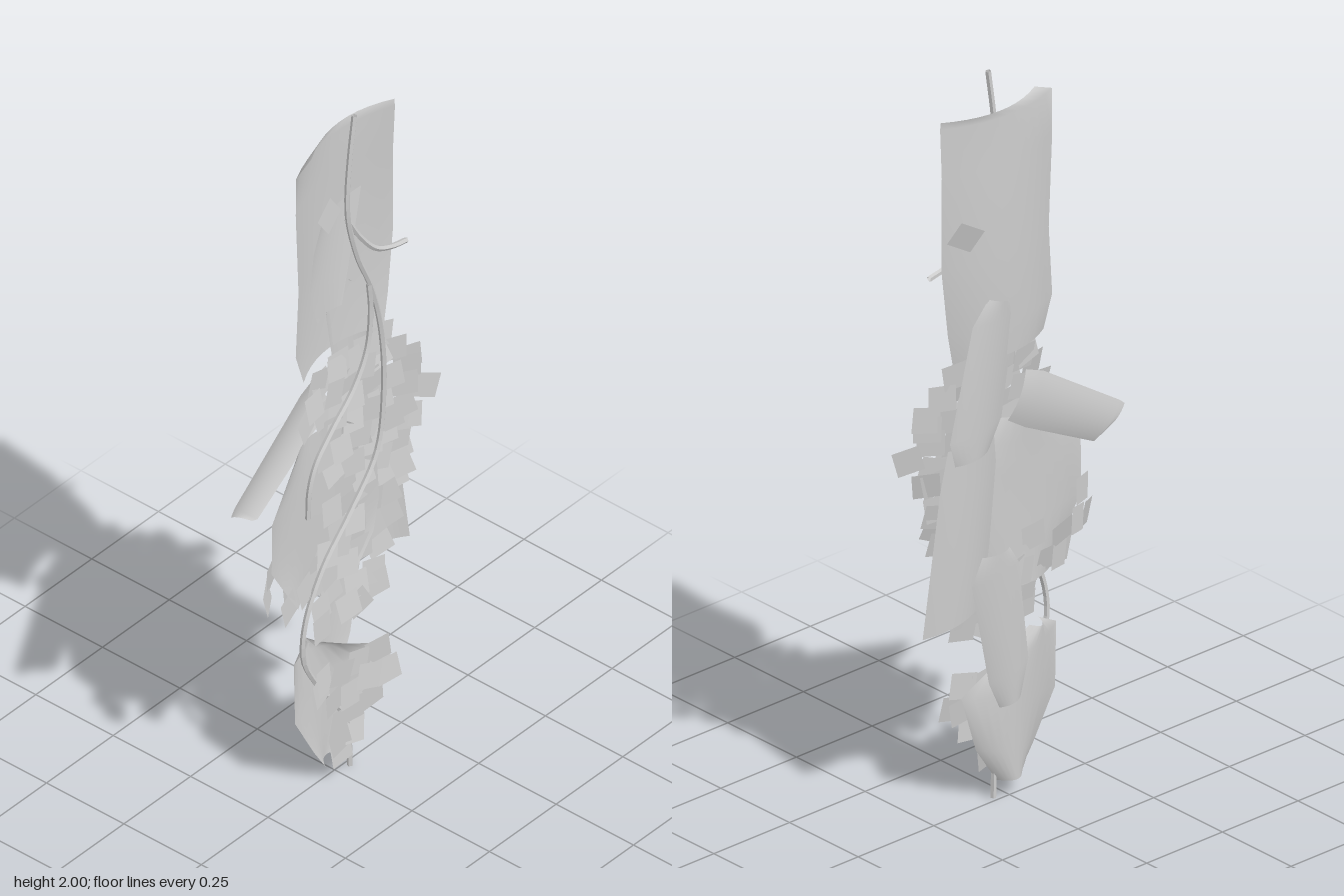
import * as THREE from 'three';

const vineMat = new THREE.MeshStandardMaterial({ color: 0xcccccc, side: THREE.DoubleSide });
vineMat.name = 'vine grey';

// Arched blade lofted through rows of [xLeft, yLeft, xRight, yRight, zEdge]
function blade(name, arch, rows) {
  const n = 10, pos = [], idx = [];
  rows.forEach(([xl, yl, xr, yr, z], r) => {
    for (let i = 0; i <= n; i++) {
      const u = i / n;
      pos.push(xl + (xr - xl) * u, yl + (yr - yl) * u, z - arch * 4 * u * (1 - u));
      if (r && i) {
        const d = r * (n + 1) + i, c = d - 1, b = d - n - 1, a = b - 1;
        idx.push(a, c, b, b, c, d);
      }
    }
  });
  const g = new THREE.BufferGeometry();
  g.setAttribute('position', new THREE.Float32BufferAttribute(pos, 3));
  g.setIndex(idx);
  g.computeVertexNormals();
  const m = new THREE.Mesh(g, vineMat);
  m.name = name;
  return m;
}

// Faceted five-sided stem through [x, y] points just in front of the leaves
function stem(name, pts, z) {
  const curve = new THREE.CatmullRomCurve3(pts.map(([x, y]) => new THREE.Vector3(x, y, z)));
  const g = new THREE.TubeGeometry(curve, 80, 0.0075, 5).toNonIndexed();
  g.computeVertexNormals();
  const m = new THREE.Mesh(g, vineMat);
  m.name = name;
  return m;
}

let seed = 11;
const rnd = () => {
  seed = (seed * 16807) % 2147483647;
  return seed / 2147483647 - 0.5;
};

// Small square leaf, its outer edge curling forward towards the sides
const squareGeo = new THREE.PlaneGeometry(0.07, 0.07);
function smallLeaf(x, y, z, spin) {
  const m = new THREE.Mesh(squareGeo, vineMat);
  m.name = 'smallLeaf';
  m.position.set(x, y, z);
  m.rotation.set(rnd() * 0.3 - 0.1, rnd() * 0.3 - x * 1.8, spin);
  return m;
}

export function createModel() {
  const model = new THREE.Group();
  model.name = 'climbingVine';

  // Stems
  model.add(stem('mainStem', [[0.057, 2], [0.04, 1.88], [0.03, 1.76], [0.035, 1.68], [0.07, 1.55],
    [0.12, 1.43], [0.158, 1.27], [0.167, 1.08], [0.14, 0.91], [0.04, 0.78], [-0.06, 0.67],
    [-0.125, 0.54], [-0.135, 0.43], [-0.09, 0.33], [-0.03, 0.24], [0.03, 0.14], [0.04, 0]], 0.015));
  model.add(stem('upperTendril', [[0.033, 1.69], [0.08, 1.61], [0.14, 1.54], [0.2, 1.51], [0.255, 1.497]], 0.012));
  model.add(stem('middleTendril', [[0.108, 1.45], [0.115, 1.36], [0.1, 1.25], [0.05, 1.16],
    [-0.03, 1.08], [-0.09, 1.01], [-0.115, 0.94], [-0.12, 0.855]], 0.018));

  // Large arched leaves
  model.add(blade('topLeaf', 0.044, [
    [-0.07, 1.925, 0.24, 1.93, -0.014], [-0.13, 1.9, 0.24, 1.91, -0.012], [-0.125, 1.78, 0.24, 1.78, -0.018],
    [-0.11, 1.53, 0.245, 1.53, -0.022], [-0.125, 1.34, 0.22, 1.34, -0.018],
    [-0.1, 1.25, 0.2, 1.25, -0.014]]));
  model.add(blade('topInnerLeaf', 0.012, [
    [-0.01, 1.67, 0.14, 1.71, -0.035], [-0.04, 1.6, 0.115, 1.6, -0.033],
    [-0.06, 1.48, 0.08, 1.47, -0.03], [-0.03, 1.38, 0.06, 1.39, -0.028]]));
  model.add(blade('backLeaf', 0.016, [
    [0.05, 1.4, 0.12, 1.42, -0.056], [0.03, 1.36, 0.17, 1.36, -0.054],
    [0.07, 1.08, 0.24, 1.06, -0.048], [0.11, 1.0, 0.22, 0.99, -0.045]]));
  model.add(blade('leftLeaf', 0.012, [
    [0.0, 1.19, 0.06, 1.07, -0.06], [-0.06, 1.165, 0.0, 1.03, -0.058],
    [-0.33, 0.985, -0.245, 0.9, -0.038], [-0.35, 0.968, -0.27, 0.912, -0.034]]));
  model.add(blade('rightLeaf', 0.025, [
    [0.08, 1.05, 0.23, 1.03, -0.03], [0.07, 0.95, 0.255, 0.92, -0.028],
    [0.09, 0.72, 0.285, 0.7, -0.025], [0.11, 0.57, 0.305, 0.535, -0.02]]));
  model.add(blade('lowerBackLeaf', 0.014, [
    [0.04, 0.71, 0.13, 0.71, -0.045], [0.01, 0.66, 0.165, 0.64, -0.045],
    [-0.03, 0.38, 0.1, 0.35, -0.036], [-0.01, 0.28, 0.06, 0.27, -0.03]]));
  model.add(blade('middleLeaf', 0.034, [
    [-0.14, 1.045, 0.05, 1.05, 0], [-0.2, 0.96, 0.12, 0.99, 0.003], [-0.24, 0.9, 0.15, 0.9, 0.005],
    [-0.243, 0.75, 0.16, 0.76, 0.006], [-0.19, 0.66, 0.14, 0.66, 0.005], [-0.14, 0.58, 0.08, 0.58, 0.003]]));
  model.add(blade('bottomLeaf', 0.032, [
    [-0.1, 0.452, -0.07, 0.44, 0.005], [-0.16, 0.42, 0.04, 0.37, 0.006], [-0.16, 0.24, 0.15, 0.31, 0.01],
    [-0.09, 0.11, 0.1, 0.15, 0.012], [-0.05, 0.045, 0.03, 0.045, 0.014]]));

  // Dense clusters of small leaves: rows of [y, xFrom, xTo, z]
  const clusters = new THREE.Group();
  clusters.name = 'leafClusters';
  const rows = [
    [1.215, -0.03, 0.2, -0.015], [1.165, -0.06, 0.22, -0.01], [1.1, -0.04, 0.27, -0.006],
    [1.045, 0, 0.26, -0.003], [0.985, -0.03, 0.26, 0], [0.925, 0, 0.25, -0.004], [0.865, 0.04, 0.24, -0.006],
    [0.8, 0.0, 0.23, -0.006], [0.74, 0.02, 0.2, -0.003], [0.68, -0.03, 0.2, 0], [0.62, -0.07, 0.16, 0],
    [0.55, 0.0, 0.14, 0.002], [0.7, -0.2, -0.06, -0.034], [0.63, -0.15, 0, -0.03],
    [0.32, -0.08, 0.12, 0.034], [0.26, -0.04, 0.13, 0.04], [0.19, -0.03, 0.09, 0.038], [0.12, -0.02, 0.05, 0.03]];
  for (const [y, x0, x1, z] of rows) {
    const n = Math.round((x1 - x0) / 0.058);
    for (let i = 0; i <= n; i++) {
      const x = x0 + (x1 - x0) * i / n + rnd() * 0.02;
      clusters.add(smallLeaf(x, y + rnd() * 0.03, z + rnd() * 0.014, rnd() * 0.6));
    }
  }

  // Stray leaves around the edges: [x, y, z, spin]
  const strays = [
    [0.318, 1.015, 0.018, -0.3], [0.275, 1.12, 0.0, 0.1], [0.275, 0.94, 0.0, -0.2], [-0.03, 1.2, -0.02, 0.1],
    [-0.09, 1.11, -0.015, 0.3], [0.04, 1.225, -0.02, 0], [-0.258, 0.685, 0.005, 0.3], [-0.245, 0.755, 0.005, 0.1],
    [-0.18, 0.61, 0.008, 0.2], [-0.12, 0.63, 0.01, 0.2], [-0.065, 0.54, 0.012, 0.1], [-0.07, 0.49, 0.02, 0],
    [0.03, 0.5, 0.02, 0.1], [0.07, 0.485, 0.015, 0.5], [0.145, 0.5, 0.01, 0.1], [0.235, 0.77, -0.01, 0.1],
    [0.25, 0.85, -0.01, 0.1], [-0.01, 0.08, 0.03, 0.1], [0.135, 0.26, 0.055, 0.1], [-0.085, 0.31, 0.03, 0.1],
    [0.2, 1.62, -0.062, 0.4], [0.015, 1.69, -0.03, 0.6]];
  for (const [x, y, z, spin] of strays) clusters.add(smallLeaf(x, y, z, spin));
  model.add(clusters);
  return model;
}
